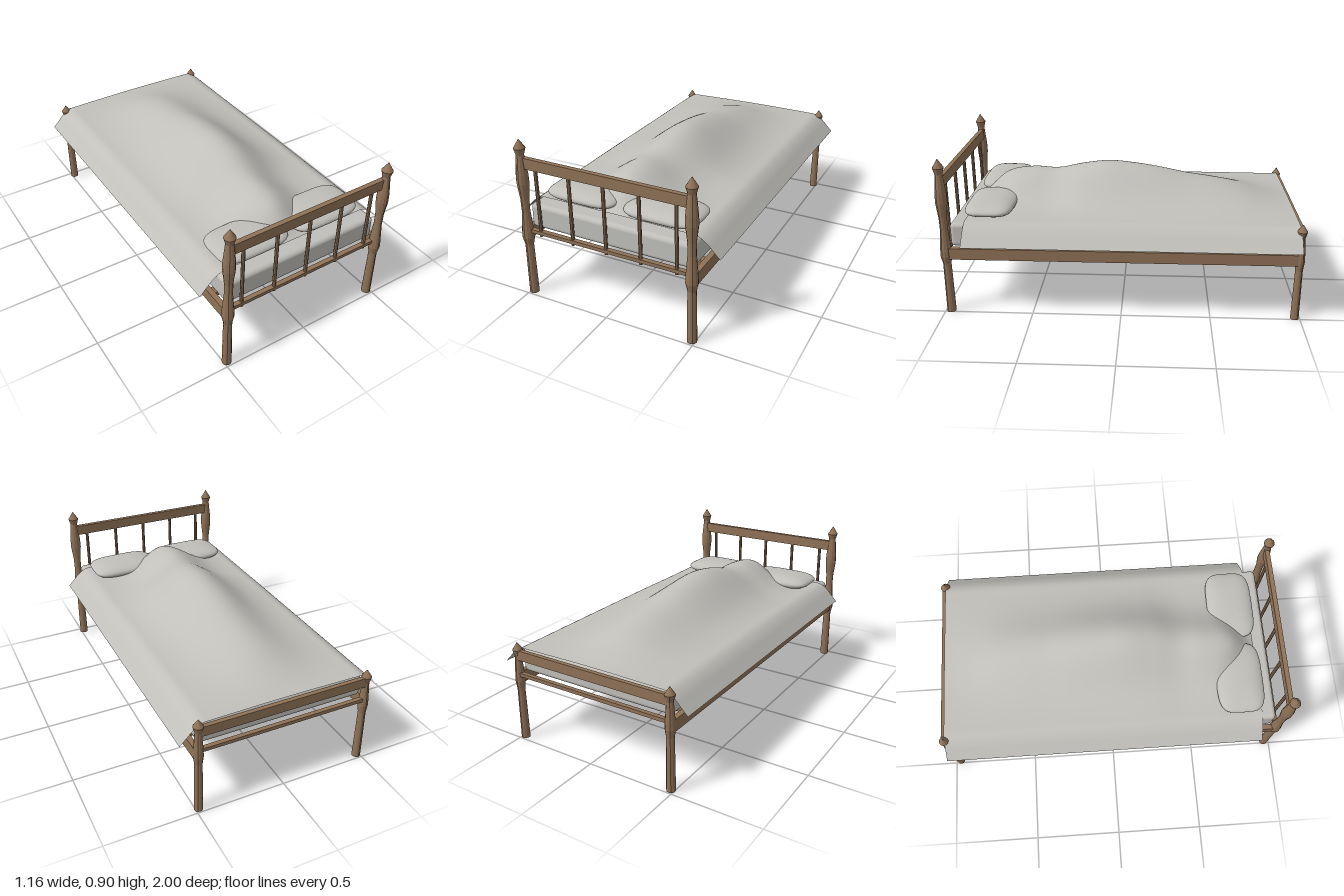
import * as THREE from 'three';
import { RoundedBoxGeometry } from 'three/addons/geometries/RoundedBoxGeometry.js';

export function createModel() {
  const bed = new THREE.Group();
  bed.name = 'bed';
  const wood = new THREE.MeshStandardMaterial({ color: 0x8f7257 });
  wood.name = 'wood';
  wood.flatShading = true;
  const linen = new THREE.MeshStandardMaterial({ color: 0xc0bfba });
  linen.name = 'linen';
  linen.side = THREE.DoubleSide;

  const add = (name, geometry, material, x = 0, y = 0, z = 0) => {
    const mesh = new THREE.Mesh(geometry, material);
    mesh.name = name;
    mesh.position.set(x, y, z);
    bed.add(mesh);
    return mesh;
  };
  // Box given by its size and the height of its underside
  const board = (name, w, h, d, x, bottom, z) =>
    add(name, new THREE.BoxGeometry(w, h, d), wood, x, bottom + h / 2, z);

  const HEAD = 0.968, FOOT = -0.972, POST_X = 0.483;

  // Turned posts: radius and height pairs
  const headProfile = [[0, 0], [0.026, 0], [0.023, 0.3], [0.033, 0.345], [0.032, 0.38], [0.022, 0.5],
    [0.023, 0.57], [0.033, 0.66], [0.032, 0.71], [0.021, 0.82], [0.031, 0.855], [0, 0.905]];
  const footProfile = [[0, 0], [0.024, 0], [0.021, 0.3], [0.027, 0.345], [0.026, 0.38],
    [0.018, 0.49], [0.028, 0.526], [0, 0.568]];
  const lathe = (profile) =>
    new THREE.LatheGeometry(profile.map(([r, y]) => new THREE.Vector2(r, y)), 12);
  for (const side of [-1, 1]) {
    const label = side > 0 ? 'left' : 'right';
    add(label + 'HeadPost', lathe(headProfile), wood, side * POST_X, 0, HEAD);
    add(label + 'FootPost', lathe(footProfile), wood, side * POST_X, 0, FOOT);
    board(label + 'SideRail', 0.03, 0.065, HEAD - FOOT, side * 0.491, 0.33, 0);
  }

  // Headboard with spindles
  board('headTopRail', 0.966, 0.06, 0.026, 0, 0.745, 0.963);
  board('headLowerRail', 0.966, 0.02, 0.026, 0, 0.377, 0.963);
  for (let i = -2; i <= 2; i++) {
    add('spindle', new THREE.CylinderGeometry(0.01, 0.01, 0.39, 8), wood, i * 0.2, 0.56, 0.963);
  }

  // Footboard
  board('footTopRail', 0.966, 0.055, 0.024, 0, 0.472, -0.977);
  board('footLowerRail', 0.966, 0.02, 0.024, 0, 0.377, -0.977);

  // Slats under the mattress
  for (let i = -4; i <= 4; i++) board('slat', 0.96, 0.025, 0.045, 0, 0.365, i * 0.205);

  add('mattress', new RoundedBoxGeometry(0.95, 0.138, 1.89, 4, 0.025), linen, 0, 0.462, -0.003);

  // Pillows: spheres squared off in plan
  for (const side of [-1, 1]) {
    const geometry = new THREE.SphereGeometry(1, 40, 24);
    const p = geometry.attributes.position;
    const square = (v) => Math.sign(v) * Math.pow(Math.abs(v), 0.5);
    for (let i = 0; i < p.count; i++) {
      const x = p.getX(i), y = p.getY(i), z = p.getZ(i);
      const r = Math.hypot(x, z);
      const k = r > 1e-6 ? Math.pow(r, 0.8) : 0;
      const cx = r > 1e-6 ? square(x / r) : 0, cz = r > 1e-6 ? square(z / r) : 0;
      p.setXYZ(i, cx * k * 0.21, y * 0.042, cz * k * 0.136);
    }
    geometry.computeVertexNormals();
    add(side > 0 ? 'leftPillow' : 'rightPillow', geometry, linen, side * 0.23, 0.571, 0.747);
  }

  // Blanket: draped sheet with a long mound, crest heights evenly spaced from head to foot
  const Z0 = 0.862, Z1 = -0.97;
  const crest = new THREE.SplineCurve([0, 0.125, 0.157, 0.155, 0.19, 0.21, 0.198, 0.173, 0.14, 0.115,
    0.082, 0.035, 0.003].map((h, i) => new THREE.Vector2(i, h)));
  const drape = new THREE.CatmullRomCurve3([[0, 0.541], [0.2, 0.541], [0.4, 0.539], [0.46, 0.536],
    [0.505, 0.51], [0.545, 0.47], [0.58, 0.434]].map(([x, y]) => new THREE.Vector3(x, y, 0)));
  const sheet = new THREE.PlaneGeometry(2, 1, 80, 90);
  const v = sheet.attributes.position;
  for (let i = 0; i < v.count; i++) {
    const s = v.getX(i), t = THREE.MathUtils.clamp(v.getY(i) + 0.5, 0, 1);
    const z = Z1 + (Z0 - Z1) * t;
    const edge = drape.getPointAt(Math.min(1, Math.abs(s)));
    const x = Math.sign(s) * edge.x;
    const width = 0.07 + 0.07 * THREE.MathUtils.smoothstep(-z, -0.84, -0.6)
      + 0.024 * THREE.MathUtils.smoothstep(-z, -0.5, -0.2);
    const centre = -0.03 * THREE.MathUtils.smoothstep(z, 0.2, 0.55);
    const mound = Math.max(0, crest.getPoint(1 - t).y) * Math.exp(-(((x - centre) / width) ** 2) / 2);
    v.setXYZ(i, x, edge.y + mound, z);
  }
  // The plane's rows run from head to foot, so flip the faces to look upward
  const index = sheet.index;
  for (let i = 0; i < index.count; i += 3) {
    const a = index.getX(i);
    index.setX(i, index.getX(i + 1));
    index.setX(i + 1, a);
  }
  sheet.computeVertexNormals();
  add('blanket', sheet, linen);

  return bed;
}
